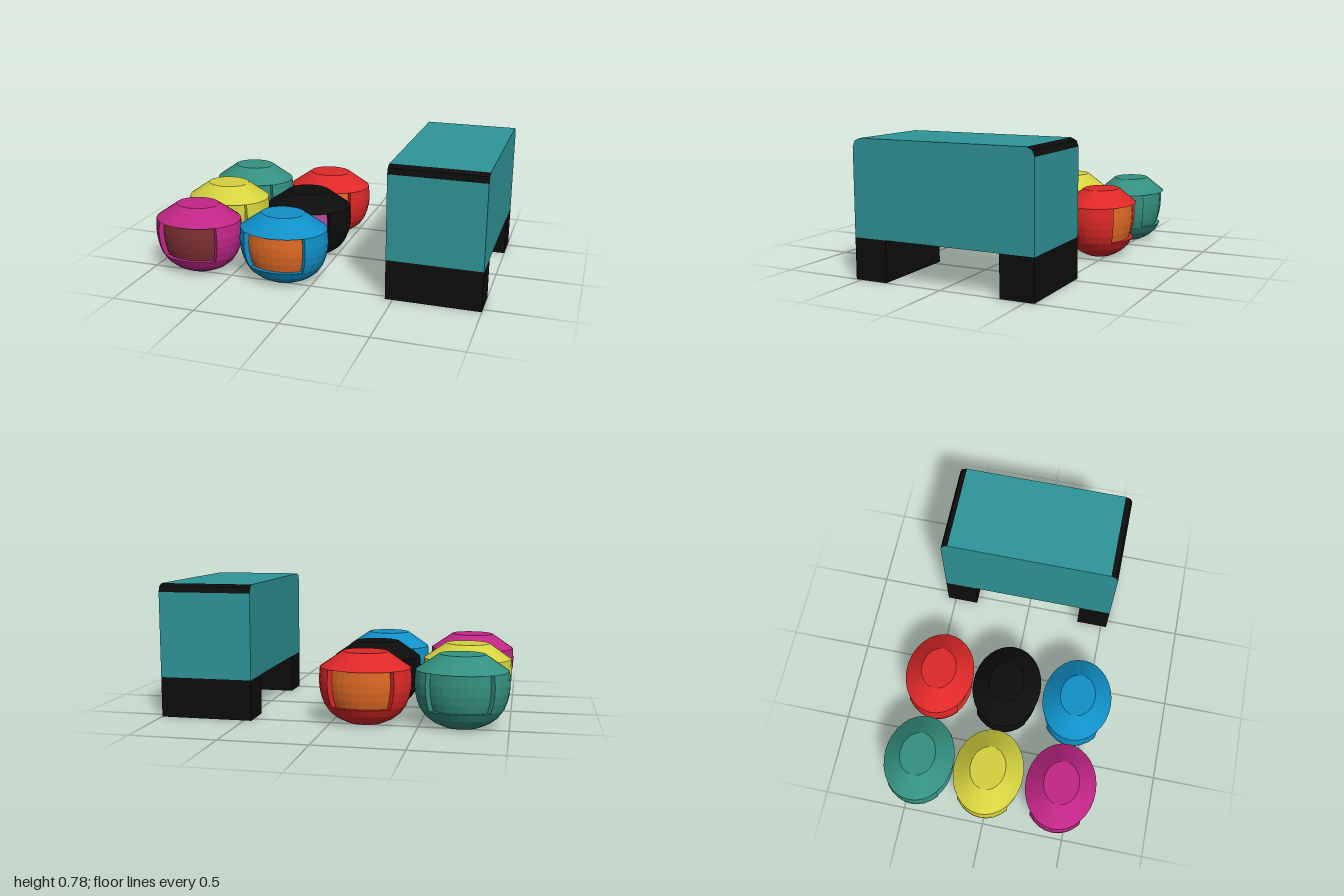
import * as THREE from 'three';

const mat = (name, color) => {
  const m = new THREE.MeshStandardMaterial({ color, side: THREE.DoubleSide });
  m.name = name;
  return m;
};

// Faceted normals
const facet = (g) => {
  const f = g.index ? g.toNonIndexed() : g;
  f.computeVertexNormals();
  return f;
};

const V = (pts) => pts.map(([x, y]) => new THREE.Vector2(x, y));
const FLATTEN = 0.81; // pod depth relative to its width
const Q = Math.PI / 4;

// Pod profiles (radius, height)
const capProfile = [[0, 0.32], [0.26, 0.32], [0.13, 0.41], [0, 0.41]];
const bowlProfile = [[0, 0], [0.1, 0], [0.16, 0.027], [0.205, 0.062], [0.235, 0.105], [0, 0.105]];
const wallProfile = [[0.235, 0.105], [0.252, 0.15], [0.263, 0.2], [0.266, 0.25], [0.26, 0.32]];
const innerProfile = wallProfile.map(([r, y]) => [r * 0.88, y]);

function makePod(body, panel) {
  const pod = new THREE.Group();
  const add = (name, g, m) => {
    const mesh = new THREE.Mesh(facet(g), m);
    mesh.name = name;
    pod.add(mesh);
  };
  add('podCap', new THREE.LatheGeometry(V(capProfile), 32), body);
  add('podBowl', new THREE.LatheGeometry(V(bowlProfile), 32), body);
  const jamb = new THREE.Shape(V([...wallProfile, ...innerProfile.slice().reverse()]));
  for (const i of [0, 2]) {
    // Recessed panels at front and back, full-thickness walls at the sides
    add('recessedPanel', new THREE.LatheGeometry(V(innerProfile), 8, (2 * i - 1) * Q, 2 * Q), panel);
    add('sideWall', new THREE.LatheGeometry(V(wallProfile), 8, (2 * i + 1) * Q, 2 * Q), body);
  }
  for (let i = 0; i < 4; i++) {
    const g = new THREE.ShapeGeometry(jamb);
    g.rotateY((2 * i + 1) * Q - Math.PI / 2);
    add('recessJamb', g, body);
  }
  pod.scale.z = FLATTEN;
  return pod;
}

export function createModel() {
  const model = new THREE.Group();
  const teal = mat('teal', 0x2f9699);
  const black = mat('black', 0x0d0d0d);
  const magenta = mat('magenta', 0xc02686);
  const blue = mat('blue', 0x1090c8);
  const red = mat('red', 0xde2828);
  const green = mat('green', 0x349080);
  const yellow = mat('yellow', 0xd4d23e);
  const orange = mat('orange', 0xe06a25);
  const brown = mat('brown', 0x7f3135);
  const purple = mat('purple', 0xb04a96);

  // Two columns of three pods
  const pods = [
    ['greenPod', -0.735, -0.435, green, green],
    ['redPod', -0.188, -0.435, red, orange],
    ['yellowPod', -0.735, -0.01, yellow, yellow],
    ['blackPod', -0.188, -0.01, black, purple],
    ['magentaPod', -0.735, 0.43, magenta, brown],
    ['bluePod', -0.188, 0.43, blue, orange],
  ];
  for (const [name, x, z, body, panel] of pods) {
    const pod = makePod(body, panel);
    pod.name = name;
    pod.position.set(x, 0, z);
    model.add(pod);
  }

  // Long block with bevelled top ends, extruded across its width
  const bench = new THREE.Group();
  bench.name = 'bench';
  bench.position.set(0.7275, 0, -0.0075);
  const W = 0.545, L = 0.5425, base = 0.235;
  const outline = new THREE.Shape(V([
    [-L, base], [L, base], [L, 0.732], [L - 0.013, 0.765], [L - 0.045, 0.78],
    [-L + 0.045, 0.78], [-L + 0.013, 0.765], [-L, 0.732],
  ]));
  const block = facet(new THREE.ExtrudeGeometry(outline, { depth: W, bevelEnabled: false }));
  block.translate(0, 0, -W / 2);
  block.rotateY(Math.PI / 2);
  // Sloping faces are black, the rest teal
  block.clearGroups();
  const n = block.attributes.normal;
  for (let i = 0; i < n.count; i += 3) {
    const sloping = Math.abs(n.getY(i)) > 0.1 && Math.abs(n.getZ(i)) > 0.1;
    block.addGroup(i, 3, sloping ? 1 : 0);
  }
  const top = new THREE.Mesh(block, [teal, black]);
  top.name = 'benchBlock';
  bench.add(top);

  // Full-width feet at both ends
  for (const s of [-1, 1]) {
    const foot = new THREE.Mesh(new THREE.BoxGeometry(W, base, 0.197), black);
    foot.name = 'benchFoot';
    foot.position.set(0, base / 2, s * (L - 0.0985));
    bench.add(foot);
  }
  model.add(bench);
  return model;
}
